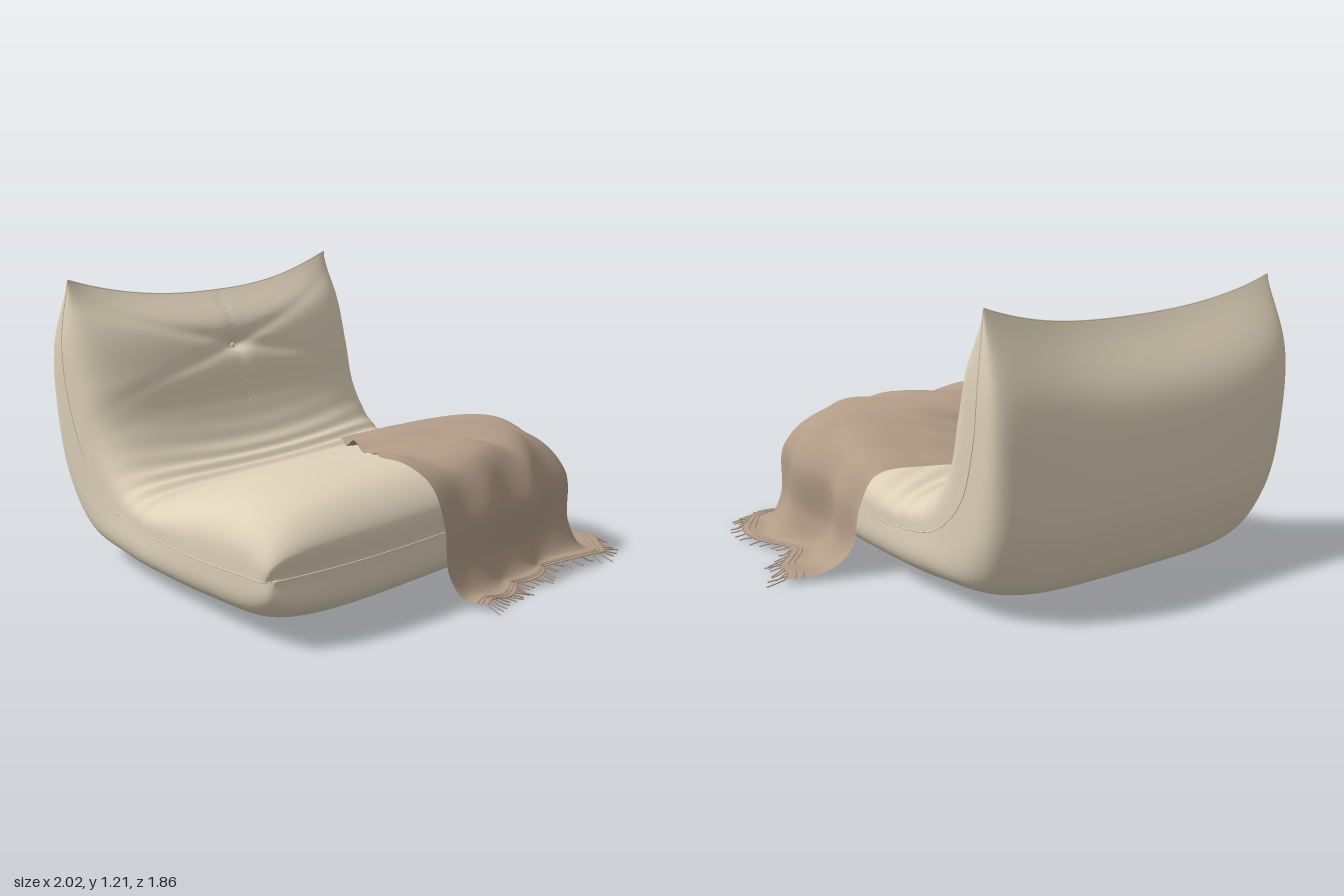
import * as THREE from 'three';
import { mergeGeometries } from 'three/addons/utils/BufferGeometryUtils.js';

const V = (x, y, z) => new THREE.Vector3(x, y, z);
const curve = (pts) => new THREE.CatmullRomCurve3(pts.map((p) => V(...p)));
const gauss = (d, s) => Math.exp(-((d / s) ** 2));

// Smooth grid surface from a function of (u, v) in 0..1
function surface(nu, nv, fn, flip = false) {
  const pos = [], idx = [];
  for (let j = 0; j <= nv; j++)
    for (let i = 0; i <= nu; i++) pos.push(...fn(i / nu, j / nv).toArray());
  for (let j = 0; j < nv; j++)
    for (let i = 0; i < nu; i++) {
      const a = j * (nu + 1) + i, b = a + 1, c = a + nu + 1, d = c + 1;
      if (flip) idx.push(a, d, b, a, c, d);
      else idx.push(a, b, d, a, d, c);
    }
  const g = new THREE.BufferGeometry();
  g.setAttribute('position', new THREE.Float32BufferAttribute(pos, 3));
  g.setIndex(idx);
  g.computeVertexNormals();
  return g;
}

// Chair: side seam (x = half width), padded front contour, back and underside contour
const CX = -0.2;
const seam = curve([[0.765, 0.28, 0.66], [0.793, 0.275, 0.6], [0.8, 0.27, 0.45], [0.8, 0.26, 0.22],
  [0.79, 0.255, 0], [0.77, 0.255, -0.22], [0.75, 0.3, -0.47], [0.75, 0.46, -0.66],
  [0.758, 0.7, -0.755], [0.757, 0.95, -0.785], [0.72, 1.21, -0.77]]);
const front = curve([[0, 0.28, 0.66], [0, 0.4, 0.655], [0, 0.51, 0.53], [0, 0.53, 0.24],
  [0, 0.455, -0.05], [0, 0.405, -0.24], [0, 0.46, -0.37], [0, 0.63, -0.475],
  [0, 0.83, -0.525], [0, 1.05, -0.615], [0, 1.21, -0.77]]);
const back = curve([[0, 0.28, 0.66], [0, 0.145, 0.65], [0, 0.04, 0.49], [0, 0.015, 0.17],
  [0, 0.01, -0.15], [0, 0.02, -0.5], [0, 0.08, -0.8], [0, 0.28, -0.905],
  [0, 0.58, -0.935], [0, 0.92, -0.915], [0, 1.21, -0.77]]);

const BUTTON_T = 0.85;

// Depth of folds in the bend and of the tufting around the button
function folds(u, t) {
  let d = 0.0075 * gauss(t - 0.53, 0.09) * Math.sin(2 * Math.PI * (22 * t - 1.2 * u * u));
  const dx = Math.abs(u) * 0.75, dy = (t - BUTTON_T) * 2, r = Math.hypot(dx, dy);
  d -= 0.022 * gauss(r, 0.06);
  for (const m of [0.3, -0.28]) d -= 0.015 * gauss(dy - m * dx, 0.035) * Math.exp(-r / 0.35);
  return d - 0.004 * gauss(dx, 0.015) * THREE.MathUtils.smoothstep(t, 0.68, 0.75);
}

function chairPoint(u, t, isFront) {
  const m = seam.getPoint(t), o = (isFront ? front : back).getPoint(t);
  const a = Math.min(1, Math.abs(u));
  // The padding is fuller toward the sides on the upright back
  const n = isFront ? 3.7 : 3.7 + 1.5 * THREE.MathUtils.smoothstep(t, 0.5, 0.8);
  const f = Math.pow(Math.max(0, 1 - a ** n), 1 / n);
  const dir = V(0, o.y - m.y, o.z - m.z), len = dir.length();
  if (len > 1e-6) dir.divideScalar(len);
  const depth = len * f + (isFront ? folds(u, t) * f * Math.min(1, len / 0.06) : 0);
  // The top edge sags between its corners; the front edge curves back at its ends
  const sag = THREE.MathUtils.smoothstep(t, 0.7, 1) * (1 - a ** 2.4);
  const round = 0.07 * a ** 2.5 * (1 - THREE.MathUtils.smoothstep(t, 0, 0.24));
  return V(CX + u * m.x, m.y + dir.y * depth - 0.11 * sag, m.z + dir.z * depth + 0.05 * sag * sag - round);
}

// Blanket: rows from the upper edge over the seat and down to the floor,
// columns from the front left edge round the corner to the rear edge
const blanketRows = [
  [[-0.34, 0.59, 0.48], [-0.24, 0.56, 0.3], [-0.2, 0.555, 0.14], [-0.1, 0.52, 0.04], [0.04, 0.47, -0.06], [0.12, 0.435, -0.24]],
  [[-0.29, 0.57, 0.57], [-0.1, 0.575, 0.45], [0.08, 0.585, 0.33], [0.2, 0.58, 0.22], [0.26, 0.525, 0.06], [0.35, 0.45, -0.16]],
  [[-0.235, 0.49, 0.66], [0.06, 0.54, 0.64], [0.32, 0.55, 0.61], [0.51, 0.55, 0.52], [0.53, 0.54, 0.22], [0.57, 0.43, -0.09]],
  [[-0.21, 0.33, 0.71], [0.06, 0.36, 0.73], [0.35, 0.36, 0.72], [0.62, 0.39, 0.63], [0.65, 0.38, 0.24], [0.64, 0.3, -0.07]],
  [[-0.2, 0.13, 0.73], [0.06, 0.13, 0.73], [0.36, 0.13, 0.7], [0.64, 0.16, 0.65], [0.65, 0.14, 0.24], [0.68, 0.12, -0.06]],
  [[-0.12, 0.015, 0.86], [0.12, 0.015, 0.82], [0.38, 0.015, 0.77], [0.78, 0.015, 0.79], [0.79, 0.015, 0.32], [0.94, 0.015, 0.03]],
];
const floorRow = blanketRows[4].map((p, i) => {
  const e = blanketRows[5][i];
  return [p[0] * 0.6 + e[0] * 0.4, 0.035, p[2] * 0.6 + e[2] * 0.4];
});
blanketRows.splice(5, 0, floorRow);
const rowCurves = blanketRows.map(curve);

function blanketPoint(p, q) {
  const pt = new THREE.CatmullRomCurve3(rowCurves.map((c) => c.getPoint(p))).getPoint(q);
  const a = rowCurves[4].getPoint(p), out = rowCurves[6].getPoint(p).sub(a).setY(0).normalize();
  const drop = THREE.MathUtils.smoothstep(q, 0.25, 0.6), edge = Math.sin(Math.PI * p) ** 0.5;
  const wave = Math.sin(p * 33 + q * 2.5 + 1), hem = THREE.MathUtils.smoothstep(q, 0.75, 1);
  const side = 0.02 + 0.013 * THREE.MathUtils.smoothstep(p, 0.5, 0.7);
  // Hanging folds swing outward, folds on the seat rise upward
  pt.addScaledVector(out, edge * drop * (side * (wave + 0.25) + 0.008 * hem * wave));
  pt.y += (1 - drop) * edge * (0.015 * Math.sin(p * 26 + q * 6) + 0.01 * Math.sin(p * 47) * (1 - q));
  pt.y += 0.008 * hem * (1 + Math.sin(p * 41));
  pt.y = Math.max(pt.y, 0.012);
  return pt;
}

const tube = (pts, r, seg = pts.length * 2, sides = 5) =>
  new THREE.TubeGeometry(new THREE.CatmullRomCurve3(pts), seg, r, sides);
const sample = (n, fn) => Array.from({ length: n + 1 }, (_, i) => fn(i / n));

export function createModel() {
  const model = new THREE.Group();
  const cream = new THREE.MeshStandardMaterial({ name: 'cream upholstery', color: 0xded1b9 });
  const wool = new THREE.MeshStandardMaterial({ name: 'taupe blanket', color: 0xb29c87, side: THREE.DoubleSide });
  const add = (name, geometry, material, parent = model) => {
    const mesh = new THREE.Mesh(geometry, material);
    mesh.name = name;
    parent.add(mesh);
    return mesh;
  };

  // Upholstered shells, sampled more finely near the sides
  const spread = (i) => { const v = i * 2 - 1; return v * (1.5 - 0.5 * v * v); };
  add('seatAndBackrest', surface(100, 200, (i, t) => chairPoint(spread(i), t, true)), cream);
  add('backAndUnderside', surface(100, 80, (i, t) => chairPoint(spread(i), t, false), true), cream);

  // Piping along the outer seam
  const piping = [
    tube(sample(60, (t) => chairPoint(-1, t, true)), 0.003),
    tube(sample(60, (t) => chairPoint(1, t, true)), 0.003),
    tube(sample(40, (i) => chairPoint(i * 2 - 1, 0, true)), 0.003),
    tube(sample(40, (i) => chairPoint(i * 2 - 1, 1, true)), 0.003),
  ];
  add('seamPiping', mergeGeometries(piping), cream);

  // Centre stitches on the backrest and the seat, and the tufting button
  const stitches = [];
  for (const [from, to, n] of [[0.7, 0.98, 18], [0.33, 0.4, 6]])
    for (let i = 0; i <= n; i++) {
      const p = chairPoint(0, from + ((to - from) * i) / n, true);
      stitches.push(new THREE.SphereGeometry(0.0035, 6, 4).translate(p.x, p.y, p.z));
    }
  add('centreStitches', mergeGeometries(stitches), cream);
  const button = add('tuftingButton', new THREE.SphereGeometry(0.013, 16, 10), cream);
  button.position.copy(chairPoint(0, BUTTON_T, true));

  // Draped blanket with hem cords and a knotted fringe
  const blanket = new THREE.Group();
  blanket.name = 'blanket';
  model.add(blanket);
  add('blanketCloth', surface(120, 80, blanketPoint), wool, blanket);
  const cords = [0.93, 0.96, 1].map((q) => tube(sample(100, (p) => blanketPoint(p, q)), 0.004, 160));
  add('hemCords', mergeGeometries(cords), wool, blanket);

  let seed = 7;
  const rand = () => (seed = (seed * 16807) % 2147483647) / 2147483647;
  const strands = [];
  const count = 56;
  for (let i = 0; i <= count; i++) {
    const p = i / count, start = blanketPoint(p, 1);
    const out = start.clone().sub(blanketPoint(p, 0.93)).setY(0).normalize();
    out.applyAxisAngle(V(0, 1, 0), (rand() - 0.5) * 1.1);
    const len = 0.045 + rand() * 0.025;
    const mid = start.clone().addScaledVector(out, len * 0.5).setY(0.012);
    const end = start.clone().addScaledVector(out, len).add(V((rand() - 0.5) * 0.02, 0, 0)).setY(0.003);
    strands.push(tube([start, mid, end], 0.003, 4, 4));
  }
  add('fringe', mergeGeometries(strands), wool, blanket);
  return model;
}
